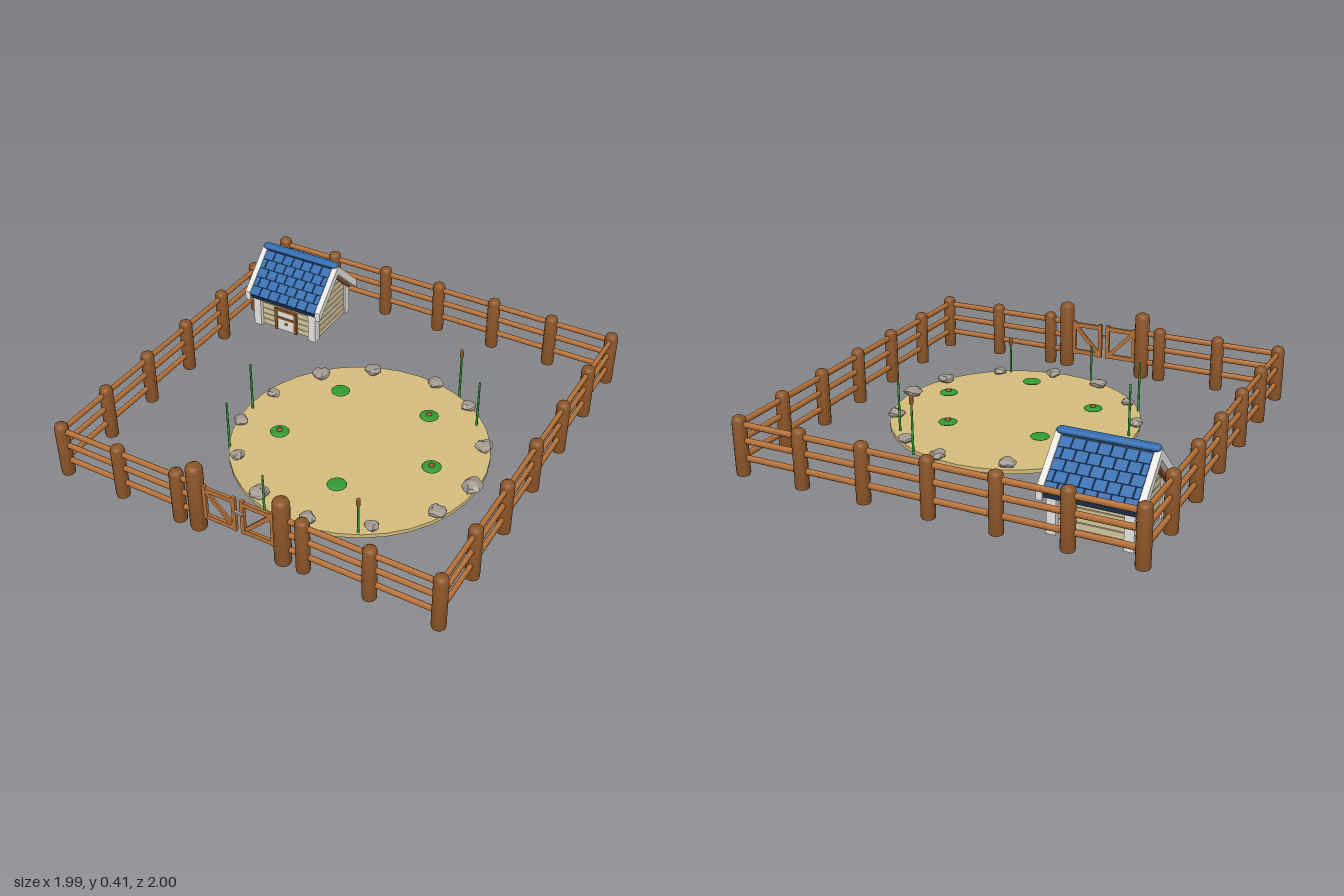
import * as THREE from 'three';
import { toCreasedNormals } from 'three/addons/utils/BufferGeometryUtils.js';

const mat = (name, color, flatShading = false) => {
  const m = new THREE.MeshStandardMaterial({ color });
  m.name = name;
  m.flatShading = flatShading;
  return m;
};

export function createModel() {
  const wood = mat('post wood', 0x8c5528);
  const lightWood = mat('rail wood', 0xb87238);
  const sand = mat('sand', 0xd3bb7c);
  const soil = mat('dark soil', 0x75664c);
  const blue = mat('roof blue', 0x2f6bae);
  const navy = mat('roof underlay', 0x1a2c48);
  const white = mat('white trim', 0xe6e4e1);
  const cream = mat('cream planks', 0xd3c69e);
  const stone = mat('stone', 0xa1988e, true);
  const leaf = mat('plant green', 0x319a34);

  const model = new THREE.Group();
  const group = (name, parent = model) => {
    const g = new THREE.Group();
    g.name = name;
    parent.add(g);
    return g;
  };
  const add = (parent, name, geo, material, x = 0, y = 0, z = 0) => {
    const m = new THREE.Mesh(geo, material);
    m.name = name;
    m.position.set(x, y, z);
    parent.add(m);
    return m;
  };
  const box = (parent, name, w, h, d, material, x, y, z) =>
    add(parent, name, new THREE.BoxGeometry(w, h, d), material, x, y, z);

  // Round post with a bevelled top
  const postGeo = (r, h) => toCreasedNormals(new THREE.LatheGeometry([
    [0, 0], [r * 0.95, 0], [r, 0.01], [r, h - 0.022], [r * 0.85, h - 0.008], [r * 0.5, h], [0, h],
  ].map(p => new THREE.Vector2(...p)), 14), 0.7);

  // Fence
  const fence = group('fence');
  const X = 0.963, Z0 = -0.967, Z1 = 0.957, GATE = 0.22;
  const post = postGeo(0.033, 0.287);
  for (let i = 0; i <= 6; i++) {
    const x = -X + i * X / 3, z = Z0 + i * (Z1 - Z0) / 6;
    add(fence, 'fencePost', post, wood, x, 0, Z0);
    if (i !== 3) add(fence, 'fencePost', post, wood, x, 0, Z1);
    if (i > 0 && i < 6) for (const s of [-1, 1]) add(fence, 'fencePost', post, wood, s * X, 0, z);
  }
  const rail = (len, alongZ, x, y, z) => {
    const geo = new THREE.CylinderGeometry(0.0145, 0.0145, len, 10).rotateZ(Math.PI / 2);
    geo.scale(1, 1.05, 0.8);
    if (alongZ) geo.rotateY(Math.PI / 2);
    add(fence, 'fenceRail', geo, lightWood, x, y, z);
  };
  for (const y of [0.085, 0.17, 0.248]) {
    rail(2 * X, false, 0, y, Z0);
    for (const s of [-1, 1]) {
      rail(Z1 - Z0, true, s * X, y, (Z0 + Z1) / 2);
      rail(X - GATE, false, s * (X + GATE) / 2, y, Z1);
    }
  }

  // Double gate
  const gate = group('gate');
  for (const s of [-1, 1]) {
    add(gate, 'gatePost', postGeo(0.039, 0.357), wood, s * GATE, 0, Z1);
    for (const y of [0.085, 0.24]) box(gate, 'gateRail', 0.175, 0.024, 0.014, lightWood, s * 0.1, y, Z1);
    for (const x of [0.022, 0.175]) box(gate, 'gateStile', 0.02, 0.19, 0.016, lightWood, s * x, 0.165, Z1);
    const brace = box(gate, 'gateBrace', 0.205, 0.02, 0.012, lightWood, s * 0.1, 0.163, Z1);
    brace.rotation.z = s * 0.8;
  }
  box(gate, 'gateLatch', 0.045, 0.012, 0.014, stone, 0.01, 0.19, Z1 + 0.012);

  // Pond bed: sandy rim and top, dark underside
  add(model, 'pondBed', new THREE.CylinderGeometry(0.626, 0.626, 0.02, 36), [sand, sand, soil], 0.13, 0.01, 0.127);

  // Rocks around the pond: x, z, radius
  const rocks = group('rocks');
  [[-0.09, -0.41, 0.042], [0.235, -0.47, 0.04], [0.463, -0.38, 0.037], [0.665, -0.135, 0.042],
    [0.733, 0.15, 0.05], [0.67, 0.385, 0.042], [0.463, 0.61, 0.033], [0.187, 0.708, 0.04],
    [-0.09, 0.67, 0.043], [-0.32, 0.5, 0.033], [-0.455, 0.273, 0.038], [-0.434, 0.008, 0.032],
    [-0.306, -0.252, 0.046]].forEach(([x, z, r], k) => {
    const geo = new THREE.IcosahedronGeometry(1, 1), p = geo.attributes.position;
    for (let i = 0; i < p.count; i++) {
      const a = p.getX(i), b = p.getY(i), c = p.getZ(i);
      const f = 1 + 0.11 * Math.sin(a * 5 + k * 2.1) + 0.1 * Math.sin(c * 6 + b * 4 + k * 1.3);
      p.setXYZ(i, a * f, b * f, c * f);
    }
    geo.scale(r, r * 0.52, r);
    geo.computeVertexNormals();
    add(rocks, 'rock', geo, stone, x, 0.037, z);
  });

  // Lily pads, some with a brown bud
  const lilies = group('lilyPads');
  [[-0.13, -0.14, 0], [0.346, -0.178, 1], [0.527, 0.156, 1], [-0.222, 0.284, 1], [0.208, 0.478, 0]]
    .forEach(([x, z, bud]) => {
      add(lilies, 'lilyPad', new THREE.SphereGeometry(0.047, 18, 8).scale(1, 0.2, 1), leaf, x, 0.065, z);
      if (bud) add(lilies, 'lilyBud', new THREE.SphereGeometry(0.015, 10, 6).scale(1, 0.7, 1), wood, x, 0.075, z);
    });

  // Reeds: x, z, height, brown head
  const reeds = group('reeds');
  [[0.378, -0.455, 0.295, 1], [0.555, -0.28, 0.275, 0], [0.422, 0.66, 0.215, 1],
    [-0.468, 0.146, 0.285, 0], [-0.4, 0.45, 0.28, 0], [-0.02, 0.735, 0.215, 0]].forEach(([x, z, h, head]) => {
    add(reeds, 'reedStem', new THREE.CylinderGeometry(0.005, 0.006, h, 7), leaf, x, h / 2, z);
    if (head) add(reeds, 'reedHead', new THREE.CapsuleGeometry(0.01, 0.028, 3, 8), wood, x, h - 0.02, z);
  });

  // House, ridge running along x
  const house = group('house');
  house.position.set(-0.6975, 0, -0.698);
  const SLOPE = 0.95, A = Math.atan(SLOPE);
  // Prism with its outline in the z-y plane, from x0 to x0 + depth
  const prism = (name, pts, x0, depth, material) => {
    const shape = new THREE.Shape(pts.map(p => new THREE.Vector2(...p)));
    const geo = new THREE.ExtrudeGeometry(shape, { depth, bevelEnabled: false }).rotateY(Math.PI / 2);
    return add(house, name, geo, material, x0);
  };
  const chevron = (name, top, t, hw, x0, depth, material) => {
    const e = top - SLOPE * hw;
    prism(name, [[0, top], [-hw, e], [-hw, e - t], [0, top - t], [hw, e - t], [hw, e]], x0, depth, material);
  };
  const halfWidth = y => Math.min(0.155, (0.35 - y) / SLOPE);
  // Dark core that shows in the gaps between planks and as the floor
  prism('wallCore', [[-0.15, 0], [0.15, 0], [0.15, 0.2], [0, 0.345], [-0.15, 0.2]], -0.178, 0.356, soil);

  // Horizontal planks, tapering in the gables
  const step = 0.034;
  for (let i = 0; i < 10; i++) {
    const y0 = 0.003 + i * step, y1 = Math.min(y0 + step - 0.004, 0.345);
    const a = halfWidth(y0), b = halfWidth(y1);
    for (const s of [-1, 1]) {
      prism('gablePlank', [[-a, y0], [a, y0], [b, y1], [-b, y1]], s * 0.18 - 0.005, 0.01, cream);
      if (y1 < 0.21) box(house, 'wallPlank', 0.36, y1 - y0, 0.012, cream, 0, (y0 + y1) / 2, s * 0.152);
    }
  }
  // Corner posts, gable boards and beams
  for (const s of [-1, 1]) {
    for (const t of [-1, 1]) box(house, 'cornerPost', 0.044, 0.2, 0.044, white, s * 0.171, 0.1, t * 0.16);
    chevron('gableBoard', 0.392, 0.05, 0.198, s * 0.2175 - 0.015, 0.03, white);
    chevron('gableBeam', 0.343, 0.022, 0.165, s * 0.196 - 0.009, 0.018, wood);
  }

  // Roof underlay, staggered tiles and ridge cap
  chevron('roofUnderlay', 0.376, 0.028, 0.19, -0.203, 0.406, navy);
  const ROWS = 5, COLS = 7, W = 0.406 / COLS, ROW = 0.0515;
  for (const s of [-1, 1]) for (let r = 0; r < ROWS; r++) {
    const odd = r % 2, d = 0.04 + r * ROW;
    for (let c = 0; c < COLS + odd; c++) {
      const x0 = Math.max(-0.203, -0.203 + (c - odd / 2) * W);
      const x1 = Math.min(0.203, -0.203 + (c + 1 - odd / 2) * W);
      const tile = box(house, 'roofTile', x1 - x0 - 0.005, 0.011, ROW - 0.001, blue,
        (x0 + x1) / 2, 0.381 - d * Math.sin(A), s * (d * Math.cos(A) + 0.003));
      tile.rotation.x = s * (A - 0.08);
    }
  }
  const ridge = new THREE.CapsuleGeometry(0.025, 0.41, 3, 12).rotateZ(Math.PI / 2).scale(1, 0.65, 1);
  add(house, 'ridgeCap', ridge, blue, 0, 0.392, 0);

  // Door with a brown frame, a middle rail and a round knob
  const DZ = 0.164;
  box(house, 'doorPanel', 0.116, 0.12, 0.008, white, 0, 0.062, DZ);
  for (const s of [-1, 1]) box(house, 'doorJamb', 0.016, 0.134, 0.018, wood, s * 0.06, 0.067, DZ);
  for (const y of [0.078, 0.126]) box(house, 'doorRail', 0.12, 0.014, 0.016, wood, 0, y, DZ);
  const knob = new THREE.CylinderGeometry(0.01, 0.01, 0.012, 12).rotateX(Math.PI / 2);
  add(house, 'doorKnob', knob, wood, 0, 0.045, DZ);

  return model;
}
